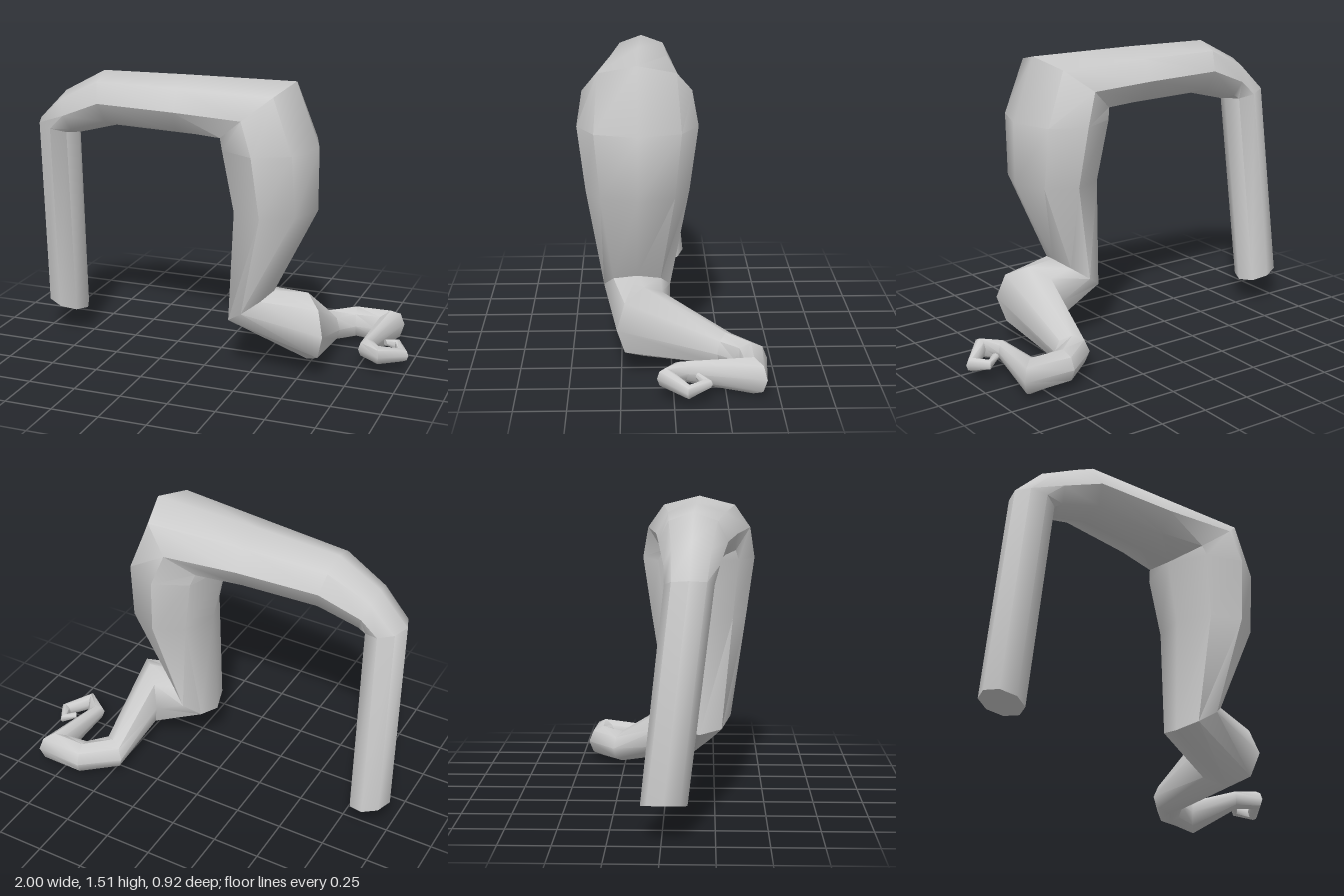
import * as THREE from 'three';
import { toCreasedNormals } from 'three/addons/utils/BufferGeometryUtils.js';

const SIDES = 8;

// Arch sections, all square to the front: centre x, y, z, outward half-axis x, y, half-depth in z
const ARCH = [
  [-0.89, 0.16, 0.01, -0.11, 0.03, 0.11], // post foot
  [-0.852, 1.183, 0.125, -0.108, 0.028, 0.115], // post top
  [-0.765, 1.262, 0.135, -0.037, 0.108, 0.13], // corner
  [-0.55, 1.35, 0.14, -0.03, 0.14, 0.165], // span
  [-0.12, 1.352, 0.155, 0, 0.15, 0.205],
  [0.26, 1.355, 0.165, 0.19, 0.155, 0.27], // shoulder
  [0.32, 1.19, 0.163, 0.25, 0, 0.298], // upper arm
  [0.35, 0.875, 0.165, 0.22, 0, 0.255],
  [0.23, 0.345, 0.17, 0.12, 0.085, 0.168], // elbow
];

// Hook sections, all upright: centre x, y, z, half-height, sideways half-axis x, z
const HOOK = [
  [0.52, 0.25, 0.14, 0.18, 0.115, 0.13], // forearm
  [0.515, 0.102, -0.265, 0.085, 0.075, 0.045], // first bend
  [0.64, 0.1, -0.38, 0.085, 0.015, 0.08],
  [0.825, 0.093, -0.38, 0.093, -0.065, 0.06], // sharp corner
  [0.785, 0.1, -0.035, 0.05, -0.035, 0.035],
  [0.865, 0.102, 0.04, 0.05, 0.01, 0.04], // curled tip
  [0.968, 0.075, -0.068, 0.036, 0.032, 0.005],
  [0.92, 0.095, -0.155, 0.025, 0.008, -0.025],
  [0.865, 0.11, -0.115, 0.017, -0.012, -0.014],
];

// One loop of points around a centre, spanned by half-axes u and v
function ring(centre, u, v) {
  return Array.from({ length: SIDES }, (_, j) => {
    const a = (j / SIDES) * Math.PI * 2;
    return new THREE.Vector3(...centre)
      .addScaledVector(u, Math.cos(a))
      .addScaledVector(v, Math.sin(a));
  });
}

const archRing = ([x, y, z, ux, uy, depth]) =>
  ring([x, y, z], new THREE.Vector3(ux, uy, 0), new THREE.Vector3(0, 0, depth));

const hookRing = ([x, y, z, height, vx, vz]) =>
  ring([x, y, z], new THREE.Vector3(0, height, 0), new THREE.Vector3(vx, 0, vz));

// Skins the loops into a closed tube
function skin(rings) {
  const index = [];
  const last = (rings.length - 1) * SIDES;
  for (let base = 0; base < last; base += SIDES) {
    for (let j = 0; j < SIDES; j++) {
      const a = base + j, b = base + ((j + 1) % SIDES);
      index.push(a, b, b + SIDES, a, b + SIDES, a + SIDES);
    }
  }
  // end caps
  for (let j = 1; j < SIDES - 1; j++) {
    index.push(0, j + 1, j, last, last + j, last + j + 1);
  }
  const geometry = new THREE.BufferGeometry().setFromPoints(rings.flat());
  geometry.setIndex(index);
  return toCreasedNormals(geometry, 0.84);
}

export function createModel() {
  const group = new THREE.Group();
  group.name = 'bentLimb';
  const limb = new THREE.Mesh(
    skin([...ARCH.map(archRing), ...HOOK.map(hookRing)]),
    new THREE.MeshStandardMaterial({ color: 0xcccccc }),
  );
  limb.name = 'limb';
  group.add(limb);
  return group;
}
